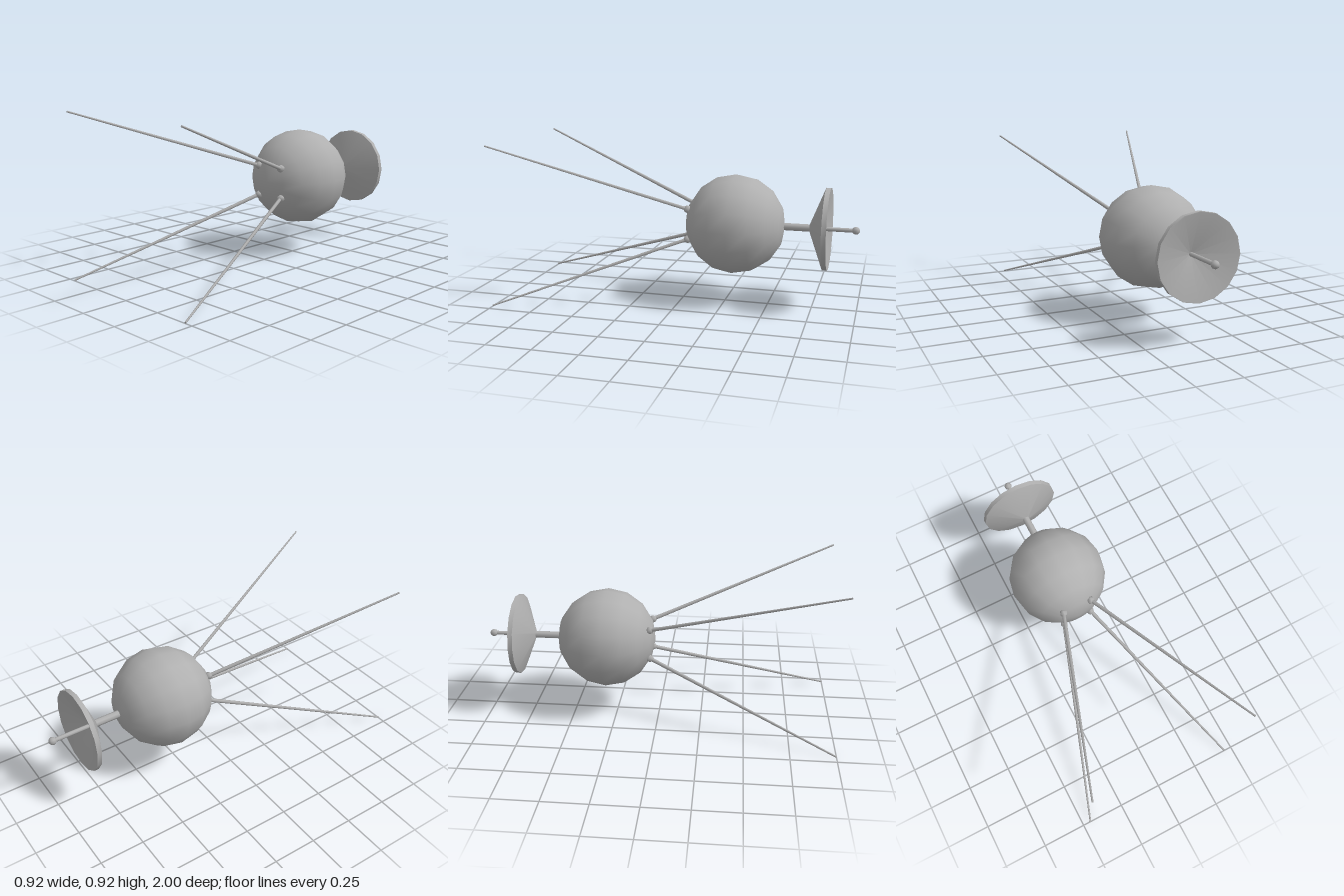
import * as THREE from 'three';
import { toCreasedNormals } from 'three/addons/utils/BufferGeometryUtils.js';

const CY = 0.461; // height of the main axis
const metal = new THREE.MeshStandardMaterial({ color: 0xb0b0b0 });
metal.name = 'grey metal';

export function createModel() {
  const model = new THREE.Group();
  model.name = 'satellite';

  const add = (name, geometry, x, y, z) => {
    const mesh = new THREE.Mesh(geometry, metal);
    mesh.name = name;
    mesh.position.set(x, y, z);
    model.add(mesh);
    return mesh;
  };
  // Sphere with its poles along z
  const ball = (r, sides, rings) =>
    new THREE.SphereGeometry(r, sides, rings).rotateY(Math.PI / 2).rotateX(-Math.PI / 2);
  // Tapered rod between two points
  const rod = (name, a, b, r0, r1, sides) => {
    const dir = b.clone().sub(a);
    const mid = a.clone().add(b).multiplyScalar(0.5);
    const mesh = add(name, new THREE.CylinderGeometry(r1, r0, dir.length(), sides), mid.x, mid.y, mid.z);
    mesh.quaternion.setFromUnitVectors(new THREE.Vector3(0, 1, 0), dir.normalize());
  };
  const onAxis = (z) => new THREE.Vector3(0, CY, z);

  // Main body
  add('body', ball(0.283, 16, 8), 0, CY, -0.305);

  // Four splayed antennas with knobs at their roots
  for (const sx of [1, -1]) {
    for (const sy of [1, -1]) {
      const root = new THREE.Vector3(sx * 0.087, CY + sy * 0.087, -0.047);
      const tip = new THREE.Vector3(sx * 0.455, CY + sy * 0.455, 1);
      add('antennaKnob', ball(0.023, 6, 4), root.x, root.y, root.z);
      rod('antenna', root, tip, 0.011, 0.005, 6);
    }
  }

  // Dish, opening to the back, with a thin rim
  const profile = [[0, 0.725], [0.02, 0.725], [0.231, 0.808], [0.231, 0.834], [0.226, 0.834], [0, 0.743]]
    .map(([r, d]) => new THREE.Vector2(r, d));
  const dish = toCreasedNormals(new THREE.LatheGeometry(profile, 16), 0.5);
  add('dish', dish.rotateX(-Math.PI / 2), 0, CY, 0);

  // Mast, feed rod and feed tip
  rod('dishMast', onAxis(-0.57), onAxis(-0.735), 0.021, 0.021, 8);
  rod('feedRod', onAxis(-0.735), onAxis(-0.975), 0.012, 0.012, 8);
  add('feedTip', ball(0.022, 8, 6), 0, CY, -0.977);

  return model;
}
